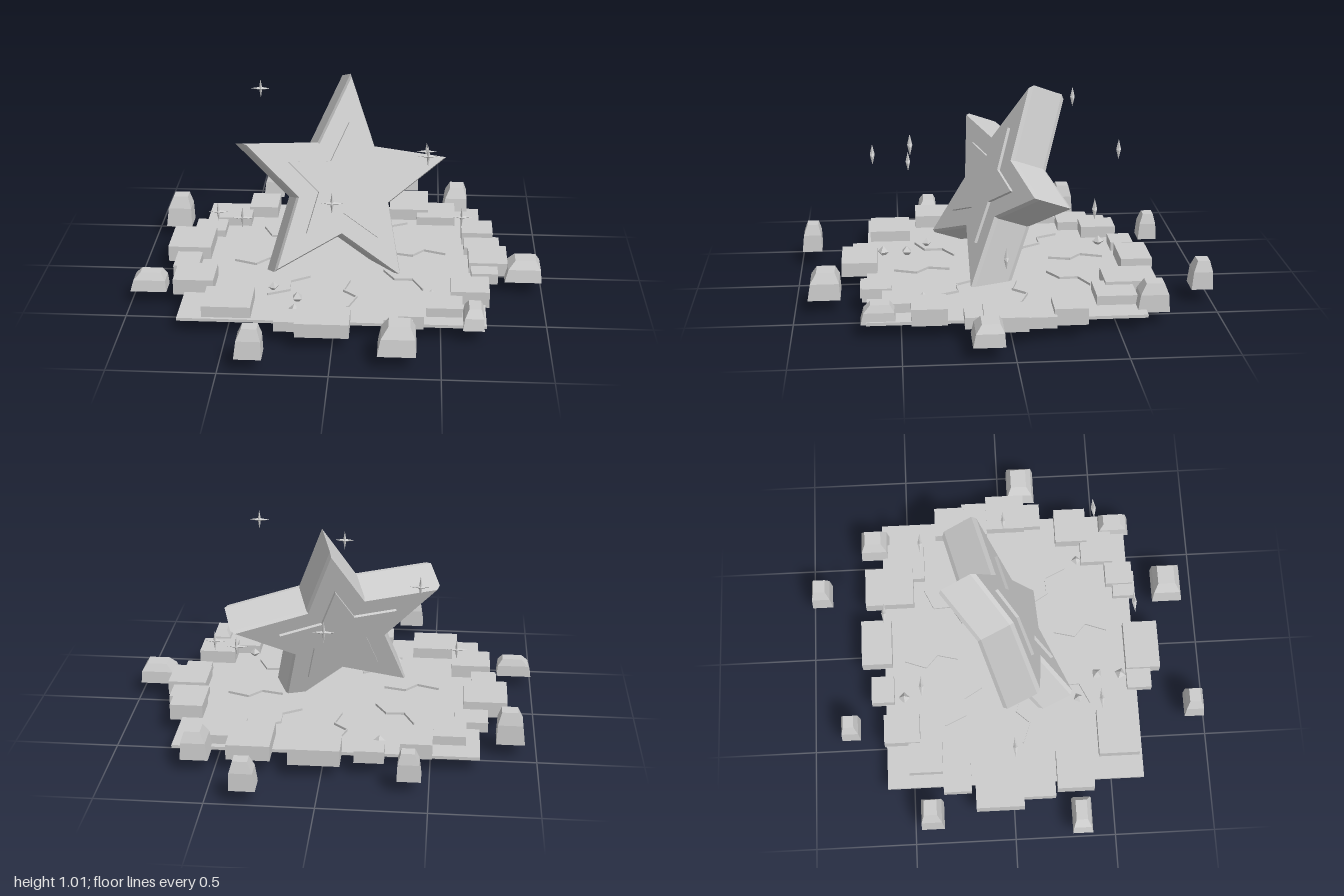
import * as THREE from 'three';

const stone = new THREE.MeshStandardMaterial({ color: 0xcccccc });
stone.name = 'stoneGrey';

// Closed flat-shaded body through outlines stacked along +z, each counterclockwise
function loft(rings) {
  const pos = [];
  const tri = (...pts) => pts.forEach((p) => pos.push(p.x, p.y, p.z));
  const n = rings[0].length;
  const mid = (r) => r.reduce((s, p) => s.add(p), new THREE.Vector3()).divideScalar(n);
  const first = rings[0], last = rings[rings.length - 1];
  for (let i = 0; i < n; i++) {
    const j = (i + 1) % n;
    for (let k = 0; k < rings.length - 1; k++) {
      const lo = rings[k], hi = rings[k + 1];
      tri(lo[i], lo[j], hi[j]);
      tri(lo[i], hi[j], hi[i]);
    }
    tri(first[j], first[i], mid(first));
    tri(last[i], last[j], mid(last));
  }
  const g = new THREE.BufferGeometry();
  g.setAttribute('position', new THREE.Float32BufferAttribute(pos, 3));
  g.computeVertexNormals();
  return g;
}

// Star outline with alternating tip and valley radii
function starRing(points, r, ratio, z) {
  return Array.from({ length: points * 2 }, (_, i) => {
    const a = Math.PI / 2 + (i * Math.PI) / points;
    const q = i % 2 ? r * ratio : r;
    return new THREE.Vector3(Math.cos(a) * q, Math.sin(a) * q, z);
  });
}

const star = (points, ratio, layers) => loft(layers.map(([r, z]) => starRing(points, r, ratio, z)));

function rectRing(w, d, z, ox = 0, oy = 0) {
  return [[-1, -1], [1, -1], [1, 1], [-1, 1]].map(
    ([x, y]) => new THREE.Vector3(ox + (x * w) / 2, oy + (y * d) / 2, z));
}

function add(parent, name, geometry, x = 0, y = 0, z = 0) {
  const m = new THREE.Mesh(geometry, stone);
  m.name = name;
  m.position.set(x, y, z);
  parent.add(m);
  return m;
}

const BASE = 0.09;

export function createModel() {
  const model = new THREE.Group();
  model.name = 'fallenStar';

  // Ground slab
  add(model, 'groundSlab', new THREE.BoxGeometry(1.44, 0.015, 1.29), -0.01, BASE + 0.0075, 0.015);

  // Rubble blocks around the rim: x0, x1, z0, z1, height
  const blocks = [
    [-0.29, -0.15, -0.70, -0.585, 0.06], [-0.09, 0.15, -0.745, -0.59, 0.08],
    [0.235, 0.44, -0.72, -0.47, 0.075], [0.38, 0.58, -0.60, -0.41, 0.06],
    [-0.51, -0.36, -0.64, -0.46, 0.075], [-0.665, -0.49, -0.52, -0.35, 0.06],
    [-0.77, -0.61, -0.35, -0.21, 0.05], [-0.865, -0.65, -0.19, 0.05, 0.08],
    [-0.815, -0.69, 0.04, 0.21, 0.055], [-0.785, -0.59, 0.22, 0.405, 0.08],
    [-0.615, -0.385, 0.44, 0.645, 0.07], [-0.27, -0.17, 0.61, 0.735, 0.05],
    [-0.17, 0.08, 0.61, 0.785, 0.07], [0.235, 0.37, 0.575, 0.69, 0.05],
    [0.30, 0.42, 0.54, 0.68, 0.065], [0.43, 0.60, 0.42, 0.585, 0.06],
    [0.545, 0.73, 0.29, 0.455, 0.08], [0.65, 0.78, 0.07, 0.215, 0.055],
    [0.64, 0.83, -0.07, 0.13, 0.07], [0.62, 0.80, -0.20, -0.07, 0.055],
    [0.61, 0.77, -0.345, -0.19, 0.08],
  ];
  for (const [x0, x1, z0, z1, h] of blocks) {
    add(model, 'rubbleBlock', new THREE.BoxGeometry(x1 - x0, h, z1 - z0),
      (x0 + x1) / 2, BASE + h / 2, (z0 + z1) / 2);
  }

  // Tapered boulders outside the rim: x, z, width, depth, height
  const boulders = [
    [-0.875, -0.41, 0.135, 0.115, 0.16], [-0.41, -0.81, 0.11, 0.095, 0.135],
    [0.325, -0.95, 0.12, 0.105, 0.14], [0.585, -0.665, 0.13, 0.15, 0.135],
    [0.905, 0.12, 0.18, 0.145, 0.1], [0.65, 0.605, 0.10, 0.16, 0.09],
    [0.30, 0.86, 0.175, 0.155, 0.13], [-0.36, 0.945, 0.125, 0.10, 0.14],
    [-0.91, 0.335, 0.175, 0.10, 0.09],
  ];
  for (const [x, z, w, d, h] of boulders) {
    const g = loft([
      rectRing(w, d, 0),
      rectRing(w * 0.88, d * 0.88, h * 0.62, w * 0.03, d * 0.03),
      rectRing(w * 0.56, d * 0.56, h, w * 0.06, d * 0.06),
    ]).rotateX(-Math.PI / 2);
    add(model, 'boulder', g, x, BASE, z);
  }

  // Thin upright crack ridges radiating from the impact point
  for (let i = 0; i < 8; i++) {
    const a0 = ((-10 + i * 45) * Math.PI) / 180;
    const pts = [[0.26, -0.06], [0.36, 0.08], [0.43, -0.06], [0.53, 0.06]].map(
      ([r, s]) => new THREE.Vector3(Math.cos(a0 + s) * r, BASE + 0.021, Math.sin(a0 + s) * r));
    for (let k = 0; k < 3; k++) {
      const dir = pts[k + 1].clone().sub(pts[k]);
      const c = pts[k].clone().addScaledVector(dir, 0.5);
      const m = add(model, 'crackRidge', new THREE.BoxGeometry(dir.length(), 0.012, 0.006), c.x, c.y, c.z);
      m.rotation.y = Math.atan2(-dir.z, dir.x);
    }
  }

  // Small crystals lying on the slab
  const crystals = [[-0.26, -0.535, 0.03], [-0.305, 0.355, 0.026], [-0.18, 0.46, 0.03],
    [-0.185, 0.58, 0.03], [0.455, 0.395, 0.026]];
  crystals.forEach(([x, z, r], i) => {
    add(model, 'crystal', new THREE.OctahedronGeometry(r), x, 0.122, z).rotation.y = i * 0.4;
  });

  // Large tilted star: chamfered body with a raised smaller star on both faces
  const big = new THREE.Group();
  big.name = 'star';
  add(big, 'starBody', star(5, 0.45, [[0.525, -0.18], [0.545, -0.16], [0.545, 0], [0.525, 0.02]]));
  add(big, 'frontInset', star(5, 0.45, [[0.305, 0.015], [0.305, 0.035]]));
  add(big, 'backInset', star(5, 0.45, [[0.305, -0.195], [0.305, -0.175]]));
  const up = new THREE.Vector3(0.04, 0.917, -0.4).normalize();
  const normal = new THREE.Vector3(0.954, -0.155, -0.26).cross(up).normalize();
  const side = up.clone().cross(normal);
  big.quaternion.setFromRotationMatrix(new THREE.Matrix4().makeBasis(side, up, normal));
  big.position.set(0.018, 0.532, 0.054);
  model.add(big);

  // Ring of floating four-point sparkles at four repeating heights
  const sparkle = star(4, 0.2, [[0.0005, -0.012], [0.052, 0], [0.0005, 0.012]]);
  const heights = [0.355, 0.855, 0.69, 0.525];
  for (let i = 0; i < 8; i++) {
    const a = (i * Math.PI) / 4;
    // The diagonal pairs share one height on opposite sides
    add(model, 'sparkle', sparkle, -0.005 + Math.cos(a) * 0.605, heights[i % 4], 0.015 + Math.sin(a) * 0.605);
  }
  return model;
}
